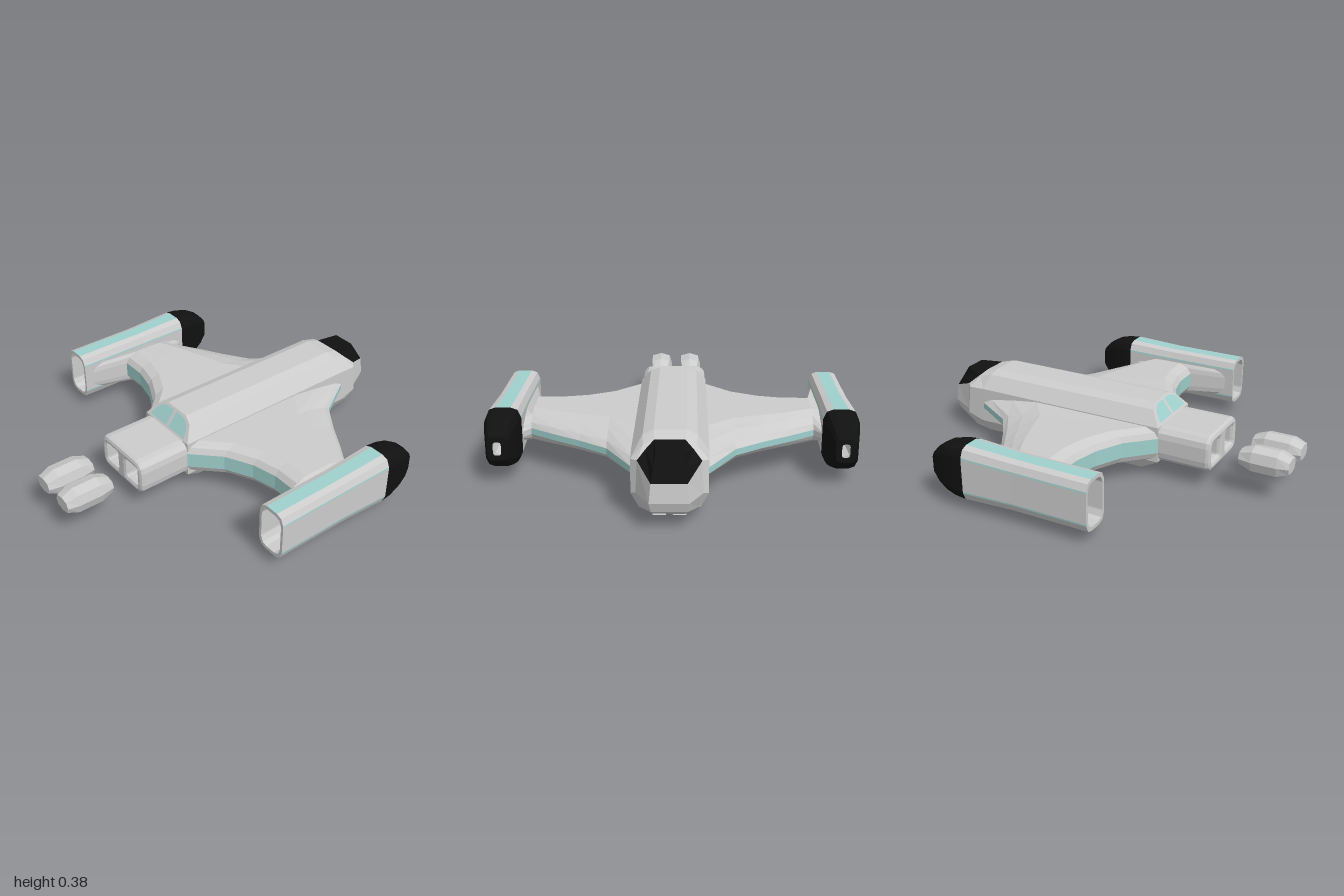
import * as THREE from 'three';

const GREY = 0xcccccc, BLACK = 0x111111, TEAL = 0x9fd0cc;
const all = (n) => Array.from({ length: n }, (_, i) => i);

function geometryFrom(quads) {
  const pos = [];
  for (const [a, b, c, d] of quads) pos.push(...a, ...b, ...c, ...a, ...c, ...d);
  const g = new THREE.BufferGeometry();
  g.setAttribute('position', new THREE.Float32BufferAttribute(pos, 3));
  g.computeVertexNormals();
  return g;
}

// Quads between successive closed rings, limited to the chosen columns
function skin(rings, cols = all(rings[0].length)) {
  const quads = [], n = rings[0].length;
  for (let i = 0; i < rings.length - 1; i++)
    for (const j of cols) {
      const k = (j + 1) % n;
      quads.push([rings[i][j], rings[i][k], rings[i + 1][k], rings[i + 1][j]]);
    }
  return quads;
}

// Strips across a ring whose second half mirrors its first
function cap(ring, rows, rear = false) {
  const n = ring.length;
  return rows.map((i) => {
    const q = [ring[i], ring[i + 1], ring[n - 2 - i], ring[n - 1 - i]];
    return rear ? q.reverse() : q;
  });
}

// Half section of [x, y, z] points from top to bottom, completed on the other side
const fullRing = (half) => [...half, ...half.map(([x, y, z]) => [x, y, -z]).reverse()];

function add(parent, name, geometry, color, doubleSide = false) {
  const material = new THREE.MeshStandardMaterial({ color, flatShading: true });
  if (doubleSide) material.side = THREE.DoubleSide;
  const mesh = new THREE.Mesh(geometry, material);
  mesh.name = name;
  parent.add(mesh);
}

// The same quads on the left (-z) and right (+z) flanks
function addPair(parent, name, quads, color) {
  add(parent, name + 'Starboard', geometryFrom(quads), color);
  const flipped = quads.map((q) => q.map(([x, y, z]) => [x, y, -z]).reverse());
  add(parent, name + 'Port', geometryFrom(flipped), color);
}

function roundedRect(path, x0, y0, x1, y1, r) {
  path.moveTo(x0 + r, y0);
  path.lineTo(x1 - r, y0); path.quadraticCurveTo(x1, y0, x1, y0 + r);
  path.lineTo(x1, y1 - r); path.quadraticCurveTo(x1, y1, x1 - r, y1);
  path.lineTo(x0 + r, y1); path.quadraticCurveTo(x0, y1, x0, y1 - r);
  path.lineTo(x0, y0 + r); path.quadraticCurveTo(x0, y0, x0 + r, y0);
  return path;
}

function buildHull(model) {
  const rear = fullRing([[-0.26, 0.38, 0.075], [-0.276, 0.36, 0.125], [-0.33, 0.29, 0.178],
    [-0.33, 0.1, 0.178], [-0.22, 0.03, 0.135], [-0.19, 0.005, 0.09]]);
  const shoulder = fullRing([[0.71, 0.38, 0.075], [0.72, 0.36, 0.125], [0.74, 0.29, 0.178],
    [0.76, 0.1, 0.178], [0.74, 0.03, 0.135], [0.73, 0.005, 0.09]]);
  const collar = fullRing([[0.78, 0.361, 0.07], [0.8, 0.34, 0.12], [0.83, 0.285, 0.176],
    [0.85, 0.13, 0.176], [0.83, 0.05, 0.14], [0.82, 0.03, 0.1]]);
  const brow = fullRing([[0.785, 0.36, 0.07], [0.82, 0.327, 0.108], [0.86, 0.29, 0.145],
    [0.872, 0.14, 0.152], [0.85, 0.06, 0.13], [0.84, 0.035, 0.1]]);
  const tip = fullRing([[0.92, 0.35, 0.06], [0.955, 0.293, 0.069], [0.99, 0.235, 0.08],
    [1, 0.145, 0.088], [0.985, 0.1, 0.08], [0.965, 0.082, 0.07]]);
  add(model, 'hull', geometryFrom([...skin([rear, shoulder, collar, brow]), ...cap(rear, all(5), true)]), GREY);
  add(model, 'nose', geometryFrom([...skin([brow, tip], [2, 3, 4, 5, 6, 7, 8]), ...cap(tip, [2, 3, 4])]), GREY);
  add(model, 'canopy', geometryFrom([...skin([brow, tip], [9, 10, 11, 0, 1]), ...cap(tip, [0, 1])]), BLACK);

  // Chin intake frames on the sloping underside of the nose
  for (const s of [-1, 1]) {
    const frame = roundedRect(new THREE.Shape(), -0.045, -0.03, 0.045, 0.03, 0.008);
    frame.holes.push(roundedRect(new THREE.Path(), -0.035, -0.02, 0.035, 0.02, 0.006));
    const g = new THREE.ExtrudeGeometry(frame, { depth: 0.01, bevelEnabled: false, curveSegments: 2 });
    g.rotateX(Math.PI / 2).rotateZ(0.36).translate(0.9, 0.06, s * 0.045);
    add(model, 'chinIntake', g, GREY);
  }

  // Rear windows lie on the slope behind the hull roof
  for (const s of [-1, 1]) {
    const pane = new THREE.Shape();
    pane.moveTo(s * 0.01, 0.014);
    pane.lineTo(s * 0.142, 0.014);
    pane.quadraticCurveTo(s * 0.125, 0.09, s * 0.07, 0.1);
    pane.lineTo(s * 0.01, 0.104);
    const g = new THREE.ShapeGeometry(pane, 4), p = g.attributes.position;
    for (let i = 0; i < p.count; i++) {
      const z = p.getX(i), t = p.getY(i) / 0.114;
      p.setXYZ(i, -0.334 + 0.07 * t, 0.292 + 0.09 * t, z);
    }
    g.computeVertexNormals();
    add(model, 'rearWindow', g, TEAL, true);
  }
}

function buildEngineBlock(model) {
  const outline = roundedRect(new THREE.Shape(), -0.158, 0.12, 0.158, 0.27, 0.04);
  for (const z of [-0.152, 0.018])
    outline.holes.push(roundedRect(new THREE.Path(), z, 0.125, z + 0.134, 0.265, 0.03));
  const g = new THREE.ExtrudeGeometry(outline, { depth: 0.27, bevelThickness: 0.02, bevelSize: 0.02,
    bevelSegments: 2, curveSegments: 3 });
  g.rotateY(-Math.PI / 2).translate(-0.32, 0, 0);
  add(model, 'engineBlock', g, GREY);
}

function buildWings(model) {
  // Aerofoil ring, counterclockwise from the lower leading edge
  const section = ([z, xt, xl, k = 1]) => {
    const c = xl - xt, f = (d) => xl - d * c;
    const upper = [[xl, 0.016], [f(0.05), 0.042], [f(0.18), 0.068], [f(0.33), 0.09],
      [xt + 0.07, 0.092], [xt + 0.02, 0.07], [xt, 0.04]];
    const lower = upper.map(([x, h]) => [x, -h]).reverse();
    return [...upper, ...lower].map(([x, h]) => [x, 0.193 + h * k, z]);
  };
  const rings = [[0.16, -0.35, 0.77], [0.18, -0.33, 0.74], [0.31, -0.2, 0.52], [0.45, -0.13, 0.42],
    [0.58, -0.1, 0.34], [0.715, -0.1, 0.25]].map(section);
  const fairing = [[0.715, -0.1, 0.25], [0.765, -0.34, 0.32, 0.82]].map(section);
  const stripes = [6, 13];
  addPair(model, 'wing', skin(rings, all(14).filter((j) => !stripes.includes(j))), GREY);
  addPair(model, 'wingEdgeStripe', skin(rings, stripes), TEAL);
  addPair(model, 'wingFairing', skin(fairing), GREY);
}

function buildPods(model) {
  const half = [[0.034, 0.13], [0.064, 0.119], [0.079, 0.086], [0.08, 0.078]];
  const side = [...half, ...half.map(([z, y]) => [z, -y]).reverse()];
  const outline = [...side, ...side.map(([z, y]) => [-z, y]).reverse()];
  const ring = ([x, sz, sy]) => outline.map(([z, y]) => [x, 0.202 + y * sy, 0.837 + z * sz]);

  // Hollow tube open at the rear, with a slit through the nose
  const inside = [[0.52, 0.25, 0.26], [0.32, 0.85, 0.85], [-0.35, 0.82, 0.86], [-0.35, 1, 1]].map(ring);
  const outside = [[-0.35, 1, 1], [0.05, 1, 1.01], [0.32, 1.1, 1.09]].map(ring);
  const nose = [[0.32, 1.1, 1.09], [0.38, 1.06, 1.05], [0.44, 0.93, 0.94], [0.49, 0.76, 0.72],
    [0.52, 0.6, 0.46], [0.52, 0.25, 0.26]].map(ring);
  const stripes = [15, 7, 2, 4, 10, 12];
  const plain = all(16).filter((j) => !stripes.includes(j));
  addPair(model, 'pod', [...skin(inside), ...skin(outside, plain)], GREY);
  addPair(model, 'podStripe', skin(outside, stripes), TEAL);
  addPair(model, 'podNose', skin(nose), BLACK);
}

function buildThrustCells(model) {
  // Faceted cells floating behind the engine openings
  const outline = [[0, 0.065], [0.052, 0.05], [0.067, 0], [0.052, -0.05],
    [0, -0.065], [-0.052, -0.05], [-0.067, 0], [-0.052, 0.05]];
  const ring = ([x, sz, sy]) => outline.map(([z, y]) => [x, 0.205 + y * sy, 0.088 + z * sz]);
  const rings = [[-1, 0, 0], [-1, 0.8, 0.58], [-0.94, 1, 1], [-0.81, 1, 1], [-0.745, 0.8, 0.58], [-0.745, 0, 0]];
  addPair(model, 'thrustCell', skin(rings.map(ring)), GREY);
}

export function createModel() {
  const model = new THREE.Group();
  model.name = 'spacecraft';
  buildHull(model);
  buildEngineBlock(model);
  buildWings(model);
  buildPods(model);
  buildThrustCells(model);
  return model;
}
